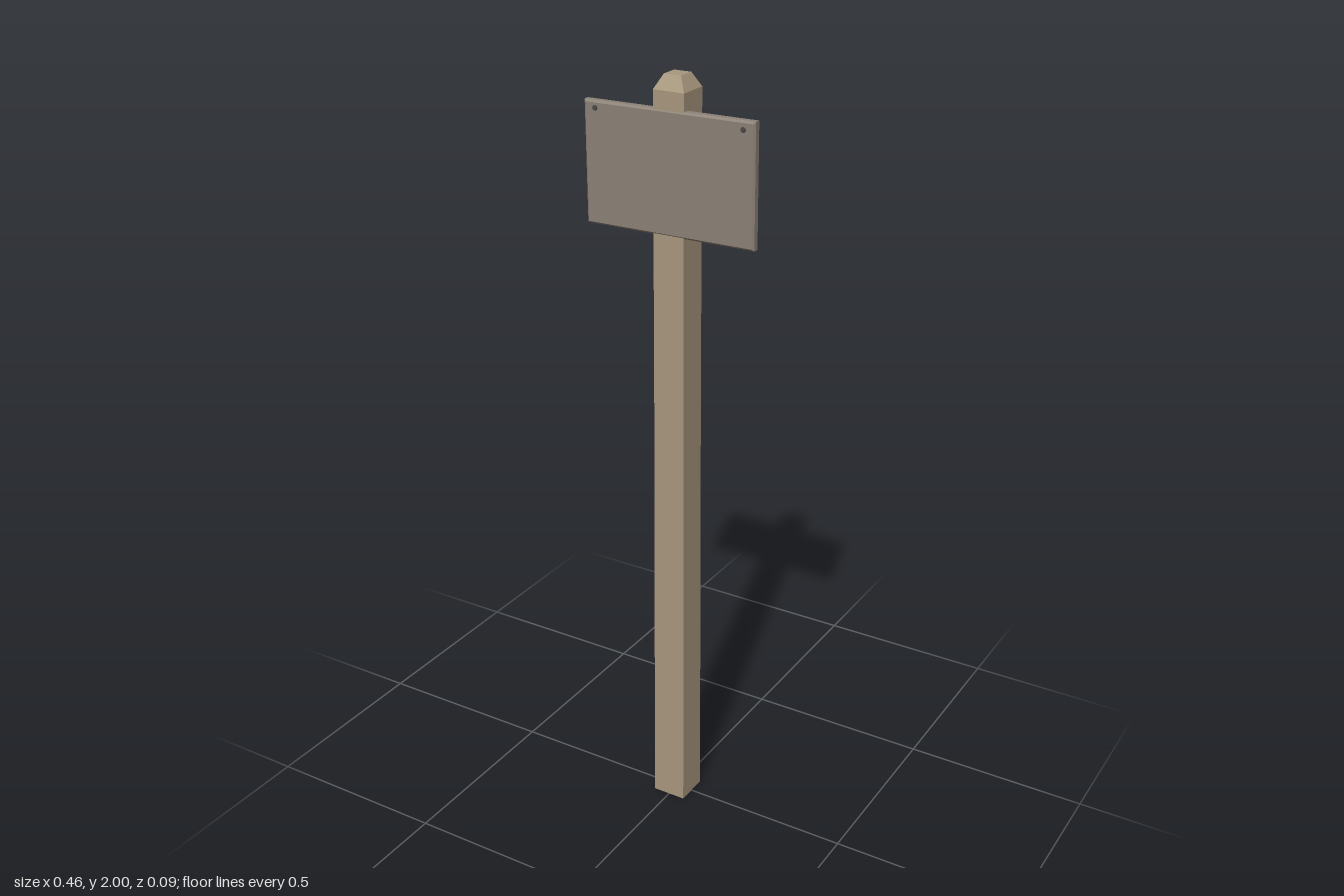
import * as THREE from 'three';

const material = (color) => new THREE.MeshStandardMaterial({ color, flatShading: true });

export function createModel() {
  const group = new THREE.Group();
  const add = (name, geometry, mat, x, y, z) => {
    const mesh = new THREE.Mesh(geometry, mat);
    mesh.name = name;
    mesh.position.set(x, y, z);
    group.add(mesh);
    return mesh;
  };

  // Square post: half-width and height pairs, slightly tapered, with a chamfered top
  const profile = [[0, 0], [0.046, 0], [0.0455, 0.22], [0.0425, 1.2], [0.0415, 1.965], [0.023, 2], [0, 2]]
    .map(([half, y]) => new THREE.Vector2(half * Math.SQRT2, y));
  const postGeometry = new THREE.LatheGeometry(profile, 4).rotateY(Math.PI / 4);
  add('post', postGeometry, material(0xa8977d), 0, 0, -0.001);

  // Sign board with bevelled edges, hung a touch crooked
  const width = 0.46, height = 0.302, depth = 0.025, bevel = 0.005;
  const w = width / 2 - bevel, h = height / 2 - bevel;
  const outline = new THREE.Shape([[-w, -h], [w, -h], [w, h], [-w, h]].map(([x, y]) => new THREE.Vector2(x, y)));
  const boardGeometry = new THREE.ExtrudeGeometry(outline, {
    depth: depth - 2 * bevel, bevelThickness: bevel, bevelSize: bevel, bevelSegments: 1,
  });
  boardGeometry.center();
  const board = add('signBoard', boardGeometry, material(0x8b8176), -0.001, 1.771, 0.031);
  board.rotation.z = 0.008;

  // Nail heads in the upper corners
  const nailGeometry = new THREE.CylinderGeometry(0.006, 0.008, 0.006, 8).rotateX(Math.PI / 2);
  const nailMaterial = material(0x4a4744);
  for (const [name, x] of [['leftNail', 0.198], ['rightNail', -0.2]]) {
    add(name, nailGeometry, nailMaterial, x, 1.903, 0.0435);
  }
  return group;
}
